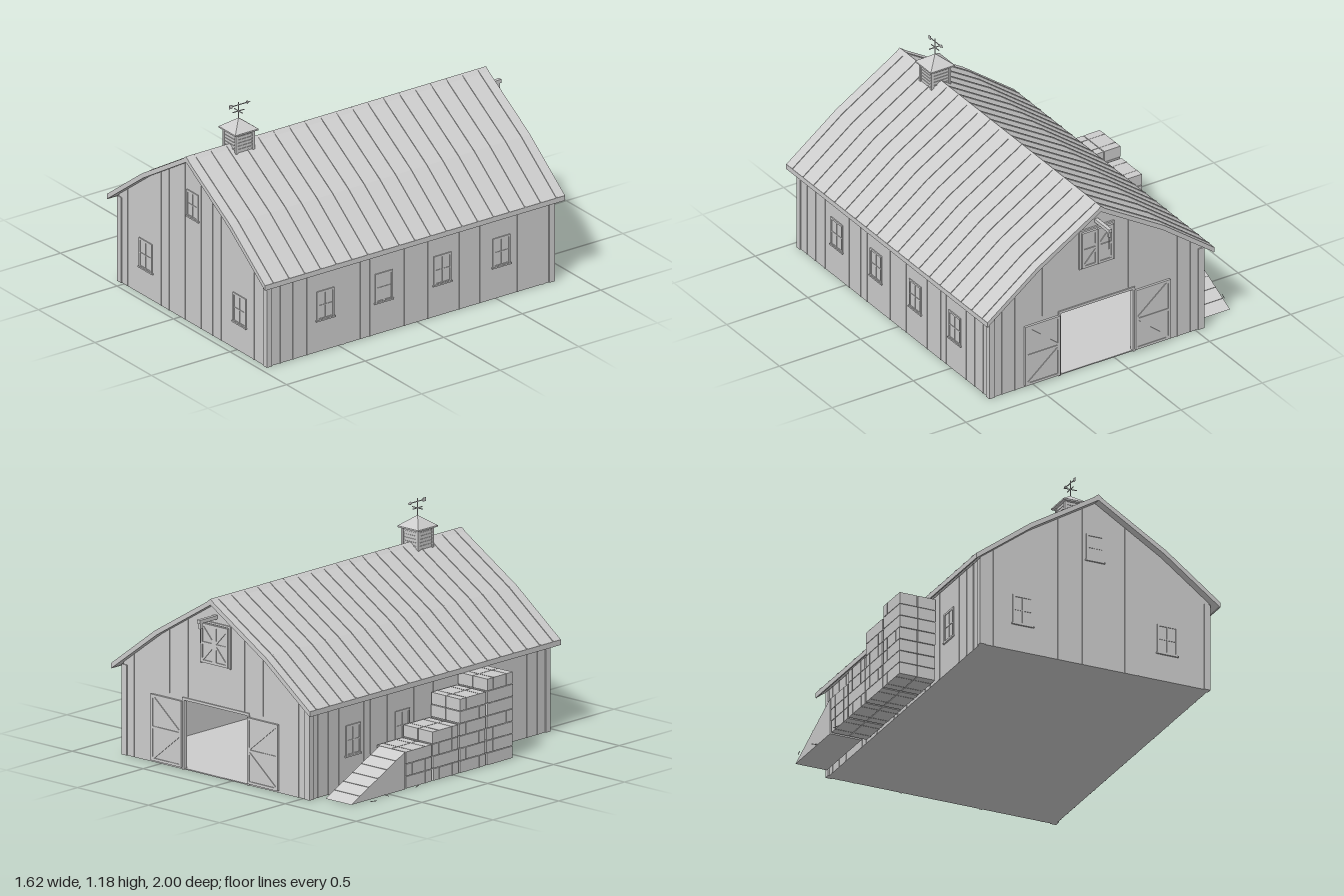
import * as THREE from 'three';

export function createModel() {
  const gray = new THREE.MeshStandardMaterial({ color: 0xcccccc });
  gray.name = 'plain gray';
  gray.side = THREE.DoubleSide;
  const model = new THREE.Group();
  model.name = 'barnWithBales';

  const group = (name, parent, x = 0, y = 0, z = 0) => {
    const g = new THREE.Group();
    g.name = name;
    g.position.set(x, y, z);
    parent.add(g);
    return g;
  };
  const add = (name, geo, parent, x = 0, y = 0, z = 0) => {
    const m = new THREE.Mesh(geo, gray);
    m.name = name;
    m.position.set(x, y, z);
    parent.add(m);
    return m;
  };
  const box = (name, parent, w, h, d, x, y, z) =>
    add(name, new THREE.BoxGeometry(w, h, d), parent, x, y, z);
  const extrude = (name, parent, pts, depth, z) => add(name,
    new THREE.ExtrudeGeometry(new THREE.Shape(pts.map(p => new THREE.Vector2(...p))),
      { depth, bevelEnabled: false }), parent, 0, 0, z);

  // Everything on the barn is symmetrical about its ridge
  const barn = group('barn', model, 0.11);
  const W = 0.655, ZF = 0.955, ZB = -0.865, MID = (ZF + ZB) / 2, LEN = ZF - ZB;
  const roofY = x => {
    const a = Math.abs(x);
    return a < 0.385 ? 0.935 - 0.6 * a : 0.704 - 0.77 * (a - 0.385);
  };

  // Walls and floor
  const gable = [[W, 0.496], [0.385, 0.704], [0, 0.935], [-0.385, 0.704], [-W, 0.496]];
  extrude('frontWall', barn, [[-W, 0], [W, 0], ...gable], 0.015, ZF - 0.015);
  extrude('backWall', barn, [[-W, 0], [-0.228, 0], [-0.228, 0.375], [0.228, 0.375],
    [0.228, 0], [W, 0], ...gable], 0.015, ZB);
  box('floor', barn, 2 * W, 0.006, LEN, 0, 0.003, MID);
  for (const s of [-1, 1]) {
    box('sideWall', barn, 0.015, 0.49, LEN, s * (W - 0.0075), 0.245, MID);
    for (const [z, o] of [[ZF, -1], [ZB, 1]]) {
      box('cornerBoardEnd', barn, 0.035, 0.485, 0.007, s * (W - 0.0105), 0.2425, z - o * 0.0025);
      box('cornerBoardSide', barn, 0.007, 0.485, 0.03, s * (W + 0.0035), 0.2425, z + o * 0.0125);
    }
  }

  // Wall battens
  for (const x of [-0.58, -0.28, -0.21, -0.07, 0.07, 0.175, 0.25, 0.54]) {
    const low = Math.abs(x) < 0.1 ? 0.0 : 0;
    const h = roofY(x) - low;
    box('frontBatten', barn, 0.006, h, 0.004, x, low + h / 2, ZF + 0.001);
  }
  for (const x of [-0.58, -0.5, -0.33, -0.2, 0.2, 0.33, 0.5, 0.58]) {
    const low = Math.abs(x) < 0.46 ? 0.39 : 0, h = roofY(x) - low;
    box('backBatten', barn, 0.006, h, 0.004, x, low + h / 2, ZB - 0.001);
  }
  for (const s of [-1, 1])
    for (const z of [0.87, 0.79, 0.7, 0.47, 0.36, 0.3, 0.08, -0.03, -0.07, -0.27, -0.4, -0.45, -0.64, -0.72, -0.8])
      box('sideBatten', barn, 0.004, 0.49, 0.006, s * (W + 0.001), 0.245, z);

  // Windows: pane, frame, cross bars and sill
  const addWindow = (x, y, z, turn, w, h, bars = true) => {
    const g = group('window', barn, x, y, z);
    g.rotation.y = turn;
    box('pane', g, w, h, 0.002, 0, 0, 0.001);
    for (const s of [-1, 1]) {
      box('frameSide', g, 0.011, h, 0.006, s * (w / 2 - 0.005), 0, 0.003);
      box('frameRail', g, w, 0.011, 0.006, 0, s * (h / 2 - 0.005), 0.003);
    }
    if (bars) {
      box('uprightBar', g, 0.006, h, 0.005, 0, 0, 0.0025);
      box('crossBar', g, w, 0.006, 0.005, 0, 0, 0.0025);
    }
    box('sill', g, w + 0.012, 0.008, 0.009, 0, -h / 2, 0.0045);
    return g;
  };
  for (const x of [-0.415, 0.415]) addWindow(x, 0.235, ZF, 0, 0.115, 0.165);
  addWindow(0, 0.675, ZF, 0, 0.1, 0.15);
  for (const s of [-1, 1])
    for (const z of [0.585, 0.213, -0.16, -0.535])
      addWindow(s * W, 0.26, z, s * Math.PI / 2, 0.11, 0.165);

  // Roof: two pitches on each side, with standing seams
  const outer = [[-0.7, 0.49], [-0.39, 0.723], [0, 0.96], [0.39, 0.723], [0.7, 0.49]];
  const inner = [[0.695, 0.465], [0.38, 0.7], [0, 0.932], [-0.38, 0.7], [-0.695, 0.465]];
  const raised = outer.map(([x, y]) => [x, y + 0.005]).reverse();
  extrude('roof', barn, [...outer, ...inner], 1.91, -0.91);
  for (let i = 0; i < 19; i++)
    extrude('roofSeam', barn, [...outer, ...raised], 0.007, -0.86 + i * 0.1);
  extrude('ridgeCap', barn, [[-0.025, 0.946], [0, 0.965], [0.025, 0.946], [0, 0.957]], 1.91, -0.91);
  for (const s of [-1, 1]) box('eaveBoard', barn, 0.006, 0.028, 1.91, s * 0.697, 0.477, 0.045);

  // Cupola with louvres
  const cupola = group('cupola', barn, 0, 0, 0.665);
  box('cupolaBody', cupola, 0.11, 0.13, 0.11, 0, 0.97, 0);
  for (const a of [-1, 1]) for (const b of [-1, 1])
    box('cupolaPost', cupola, 0.014, 0.13, 0.014, a * 0.053, 0.97, b * 0.053);
  for (let i = 0; i < 5; i++)
    box('louvre', cupola, 0.116, 0.005, 0.116, 0, 0.945 + i * 0.018, 0);
  box('cupolaEave', cupola, 0.148, 0.008, 0.148, 0, 1.036, 0);
  const cap = new THREE.ConeGeometry(0.148 / Math.SQRT2, 0.056, 4).toNonIndexed();
  cap.rotateY(Math.PI / 4);
  cap.computeVertexNormals();
  add('cupolaRoof', cap, cupola, 0, 1.068, 0);

  // Weather vane
  add('vanePole', new THREE.CylinderGeometry(0.0025, 0.0025, 0.1, 8), cupola, 0, 1.135, 0);
  box('vaneArmX', cupola, 0.074, 0.004, 0.004, 0, 1.134, 0);
  box('vaneArmZ', cupola, 0.004, 0.004, 0.074, 0, 1.134, 0);
  box('vaneArrow', cupola, 0.004, 0.004, 0.12, 0, 1.169, 0);
  box('vaneTail', cupola, 0.003, 0.02, 0.022, 0, 1.169, 0.05);
  const tip = add('vaneTip', new THREE.ConeGeometry(0.01, 0.022, 4), cupola, 0, 1.169, -0.064);
  tip.rotation.x = -Math.PI / 2;

  // Open barn doors, braced, lying back against the rear wall
  const addDoor = (name, x, y, w, h, braceDirs) => {
    const g = group(name, barn, x, y, ZB - 0.009);
    box('doorPanel', g, w, h, 0.008, 0, 0, 0);
    for (const s of [-1, 1]) {
      box('doorStile', g, 0.014, h, 0.006, s * (w / 2 - 0.007), 0, -0.006);
      box('doorRail', g, w, 0.014, 0.006, 0, s * (h / 2 - 0.007), -0.006);
    }
    box('middleRail', g, w, 0.014, 0.006, 0, 0, -0.006);
    for (const s of [-1, 1]) {
      const brace = box('doorBrace', g, Math.hypot(w, h / 2) - 0.03, 0.012, 0.005, 0, s * h / 4, -0.006);
      brace.rotation.z = braceDirs * s * Math.atan2(h / 2, w);
    }
  };
  for (const s of [-1, 1]) {
    addDoor('barnDoor', s * 0.34, 0.19, 0.215, 0.355, s);
    addDoor('loftDoor', s * 0.049, 0.71, 0.096, 0.21, s);
    box('doorJamb', barn, 0.014, 0.375, 0.022, s * 0.229, 0.1875, ZB + 0.004);
    box('loftFrame', barn, 0.01, 0.225, 0.009, s * 0.103, 0.71, ZB - 0.0045);
  }
  box('doorHeader', barn, 0.47, 0.014, 0.022, 0, 0.38, ZB + 0.004);
  box('loftHeader', barn, 0.216, 0.01, 0.009, 0, 0.823, ZB - 0.0045);

  // Hay hoist
  box('hoistBeam', barn, 0.02, 0.02, 0.14, 0, 0.86, -0.93);
  box('hoistBlock', barn, 0.014, 0.03, 0.018, 0, 0.835, -0.985);
  add('hoistRope', new THREE.CylinderGeometry(0.002, 0.002, 0.09, 6), barn, 0, 0.79, -0.985);

  // Stepped stack of bales beside the wall, each tied with two strings
  const stack = group('baleStack', model);
  const wobble = n => Math.sin(n * 12.9898) * 0.0025;
  [3, 4, 6, 7].forEach((layers, k) => {
    for (let j = 0; j < layers; j++)
      for (let i = 0; i < 2; i++) {
        const n = k * 17 + j * 2 + i;
        const bale = group('bale', stack, -0.713 + i * 0.104, 0.034 + j * 0.0663,
          -0.27 + k * 0.206 + wobble(n + 3));
        bale.rotation.y = wobble(n) * 3;
        box('hay', bale, 0.1, 0.063, 0.194, 0, 0, 0);
        for (const s of [-1, 1])
          box('string', bale, 0.103, 0.066, 0.004, 0, 0, s * 0.05);
      }
  });

  // Loading ramp up to the lowest step
  const ramp = group('ramp', model, -0.765);
  const wedge = extrude('rampBody', ramp, [[0.785, 0], [0.375, 0], [0.375, 0.2]], 0.18, 0);
  wedge.rotation.y = Math.PI / 2;
  wedge.geometry.translate(0, 0, 0);
  for (let i = 1; i < 6; i++) {
    const t = i / 6;
    const cleat = box('rampCleat', ramp, 0.18, 0.004, 0.006, 0.09, t * 0.2 + 0.001, -0.785 + t * 0.41);
    cleat.rotation.x = -Math.atan2(0.2, 0.41);
  }

  // Loose straw on the ground
  [[-0.806, -0.66, -0.3], [-0.776, -0.53, 1.4], [-0.773, -0.29, 0.4]].forEach(([x, z, r]) => {
    box('straw', model, 0.003, 0.003, 0.04, x, 0.002, z).rotation.y = r;
  });
  return model;
}
